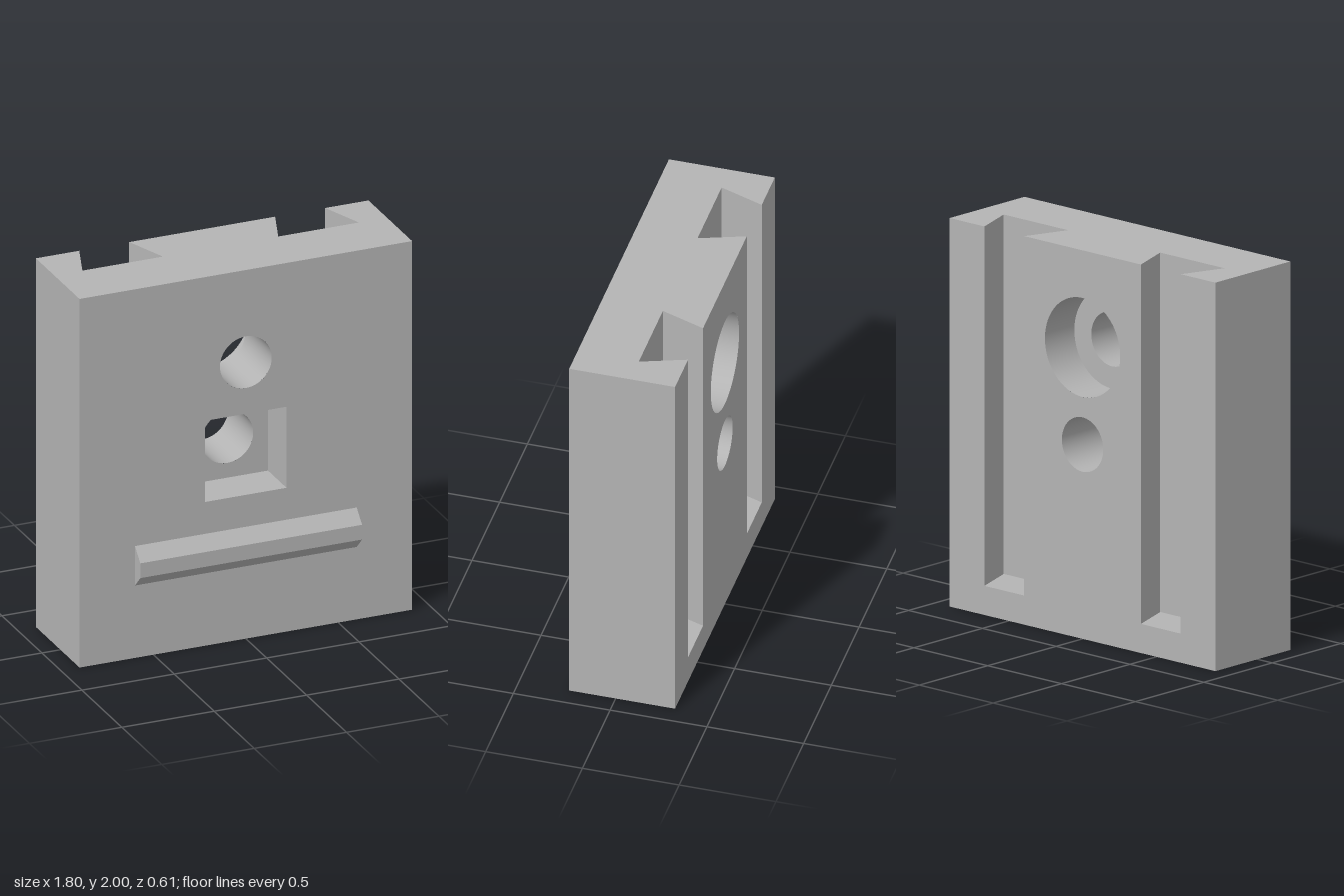
import * as THREE from 'three';

const HALF_W = 0.9, TOP = 2, FRONT = 0.24, BACK = -0.307;
const BORE_R = 0.14, UPPER_Y = 1.5, LOWER_Y = 1.0;
const COUNTERBORE_R = 0.255, COUNTERBORE_Z = -0.092;
const POCKET = 0.22, POCKET_Z = 0.008;
const SLOT_X = 0.53, SLOT_MOUTH = 0.135, SLOT_FLOOR = 0.218, SLOT_Z = -0.076, SLOT_END = 0.15;
const SEGMENTS = 64;

const toShape = (pts) => new THREE.Shape(pts.map(([x, y]) => new THREE.Vector2(x, y)));
const rect = (x0, x1, y0, y1) => [[x0, y0], [x1, y0], [x1, y1], [x0, y1]];
const circle = (y, r) => new THREE.Path().absarc(0, y, r, 0, Math.PI * 2, true);

// Flat face at depth z; every outline is symmetric in x, or already turned for the back
function face(pts, z, holes = [], facesBack = false) {
  const shape = toShape(pts);
  shape.holes.push(...holes);
  const g = new THREE.ShapeGeometry(shape, SEGMENTS);
  if (facesBack) g.rotateY(Math.PI);
  return g.translate(0, 0, z);
}

// Walls between a front polyline and a back polyline (clockwise faces inward)
function walls(a, zA, b, zB) {
  const pos = [];
  for (let i = 0; i < a.length - 1; i++) {
    const a0 = [...a[i], zA], a1 = [...a[i + 1], zA];
    const b0 = [...b[i], zB], b1 = [...b[i + 1], zB];
    pos.push(...a0, ...b0, ...b1, ...a0, ...b1, ...a1);
  }
  const g = new THREE.BufferGeometry();
  g.setAttribute('position', new THREE.Float32BufferAttribute(pos, 3));
  g.computeVertexNormals();
  return g;
}

// Inward-facing turned surface along z, from front [r, z] to back [r, z]
function turned(y, from, to) {
  const pts = [from, to].map(([r, z]) => new THREE.Vector2(r, z));
  return new THREE.LatheGeometry(pts, SEGMENTS).rotateX(Math.PI / 2).translate(0, y, 0);
}

export function createModel() {
  const model = new THREE.Group();
  model.name = 'mountingPlate';
  const grey = new THREE.MeshStandardMaterial({ name: 'grey', color: 0xb4b4b4 });
  const add = (name, geometry) => {
    const mesh = new THREE.Mesh(geometry, grey);
    mesh.name = name;
    model.add(mesh);
  };

  // Front face with the upper bore and the square pocket
  const pocket = rect(-POCKET, POCKET, LOWER_Y - POCKET, LOWER_Y + POCKET);
  add('frontFace', face(rect(-HALF_W, HALF_W, 0, TOP), FRONT,
    [circle(UPPER_Y, BORE_R), toShape(pocket)]));

  // Square pocket
  const loop = [...pocket, pocket[0]].reverse();
  add('pocketWalls', walls(loop, FRONT, loop, POCKET_Z));
  add('pocketFloor', face(pocket, POCKET_Z, [circle(LOWER_Y, BORE_R)]));

  // Sides and underside
  const outer = [[-HALF_W, TOP], [-HALF_W, 0], [HALF_W, 0], [HALF_W, TOP]];
  add('outerWalls', walls(outer, FRONT, outer, BACK));

  // Top face with dovetail notches, and back face with slot mouths
  const topOutline = [[-HALF_W, -FRONT], [HALF_W, -FRONT], [HALF_W, -BACK]];
  const backOutline = [[-HALF_W, 0], [HALF_W, 0], [HALF_W, TOP]];
  for (const cx of [SLOT_X, -SLOT_X]) {
    topOutline.push([cx + SLOT_MOUTH, -BACK], [cx + SLOT_FLOOR, -SLOT_Z],
      [cx - SLOT_FLOOR, -SLOT_Z], [cx - SLOT_MOUTH, -BACK]);
    backOutline.push([cx + SLOT_MOUTH, TOP], [cx + SLOT_MOUTH, SLOT_END],
      [cx - SLOT_MOUTH, SLOT_END], [cx - SLOT_MOUTH, TOP]);
  }
  topOutline.push([-HALF_W, -BACK]);
  backOutline.push([-HALF_W, TOP]);
  add('topFace', new THREE.ShapeGeometry(toShape(topOutline)).rotateX(-Math.PI / 2).translate(0, TOP, 0));
  add('backFace', face(backOutline, BACK,
    [circle(UPPER_Y, COUNTERBORE_R), circle(LOWER_Y, BORE_R)], true));

  // Dovetail slots, open at the top and closed below
  for (const [side, cx] of [['left', SLOT_X], ['right', -SLOT_X]]) {
    const u = (w) => [[cx + w, TOP], [cx + w, SLOT_END], [cx - w, SLOT_END], [cx - w, TOP]];
    add(side + 'SlotWalls', walls(u(SLOT_FLOOR), SLOT_Z, u(SLOT_MOUTH), BACK));
    add(side + 'SlotFloor', face(rect(-cx - SLOT_FLOOR, -cx + SLOT_FLOOR, SLOT_END, TOP), SLOT_Z, [], true));
  }

  // Bores: the upper one is counterbored from the back
  add('upperBore', turned(UPPER_Y, [BORE_R, FRONT], [BORE_R, COUNTERBORE_Z]));
  add('counterboreLedge', turned(UPPER_Y, [BORE_R, COUNTERBORE_Z], [COUNTERBORE_R, COUNTERBORE_Z]));
  add('counterboreWall', turned(UPPER_Y, [COUNTERBORE_R, COUNTERBORE_Z], [COUNTERBORE_R, BACK]));
  add('lowerBore', turned(LOWER_Y, [BORE_R, POCKET_Z], [BORE_R, BACK]));

  // Bevelled ridge across the front
  const ridge = toShape([[FRONT, 0.393], [0.307, 0.46], [0.307, 0.54], [FRONT, 0.607]]);
  add('frontRidge', new THREE.ExtrudeGeometry(ridge, { depth: 1.2, bevelEnabled: false })
    .rotateY(-Math.PI / 2).translate(0.6, 0, 0));

  return model;
}
